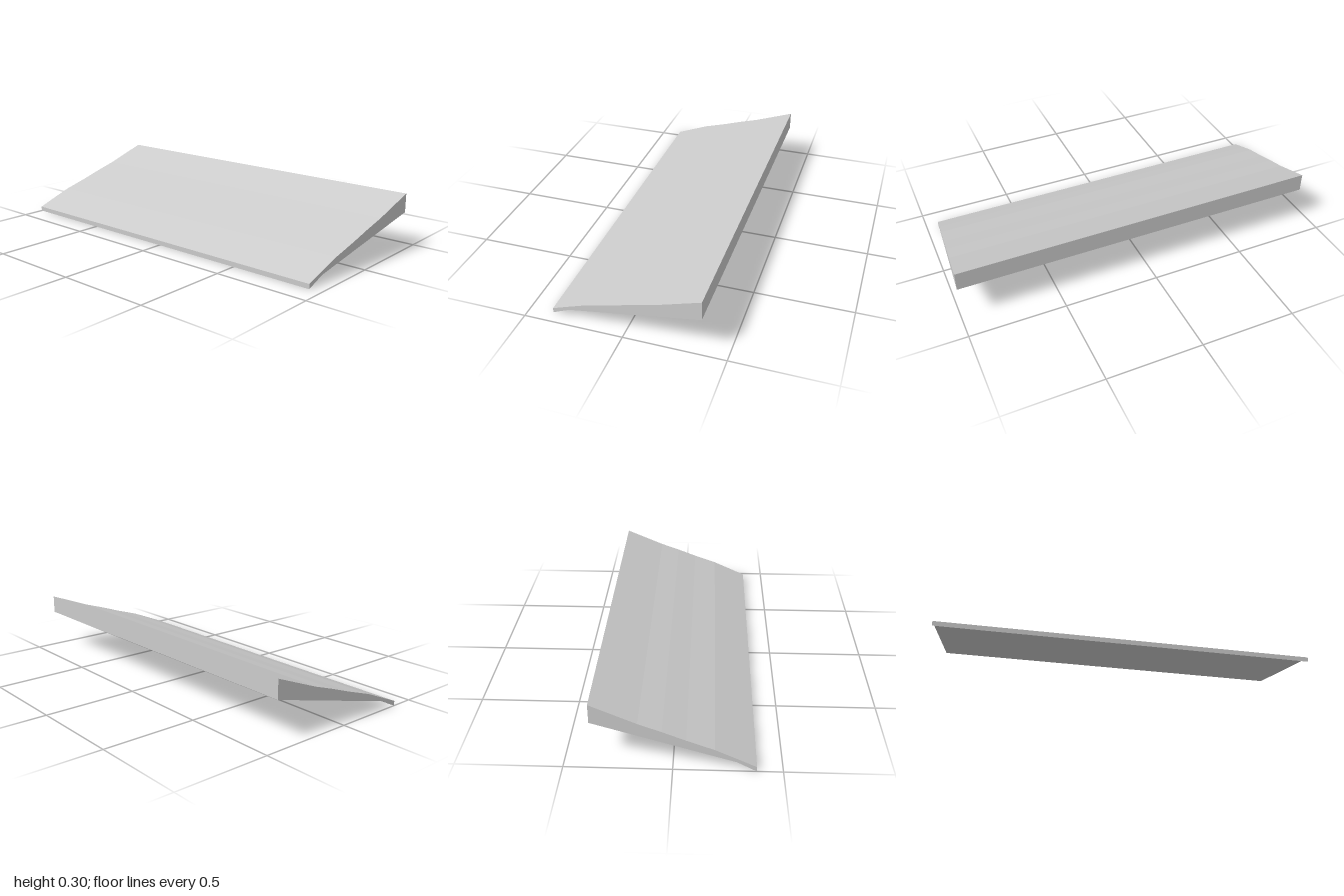
import * as THREE from 'three';

export function createModel() {
  const group = new THREE.Group();

  // Wedge cross-section: underside with a kinked lip, then the gently curved top
  const profile = [
    [-0.38, 0], [-0.29, 0.044], [0.38, 0.204],
    [0.38, 0.302], [0.27, 0.26], [0.16, 0.218], [0.05, 0.183],
    [-0.06, 0.145], [-0.19, 0.104], [-0.29, 0.063], [-0.38, 0.025],
  ].map(([x, y]) => new THREE.Vector2(x, y));

  const length = 1.937;
  const geometry = new THREE.ExtrudeGeometry(new THREE.Shape(profile), {
    depth: length, bevelEnabled: false,
  });
  geometry.translate(0, 0, -length / 2);

  // Skew the ends so the thick edge sits further forward than the thin edge
  const skew = (2 - length) / 0.76;
  const pos = geometry.attributes.position;
  for (let i = 0; i < pos.count; i++) pos.setZ(i, pos.getZ(i) + skew * pos.getX(i));
  geometry.computeVertexNormals();

  const panel = new THREE.Mesh(geometry, new THREE.MeshStandardMaterial({ color: 0xcccccc }));
  panel.name = 'wedgePanel';
  group.add(panel);
  return group;
}
